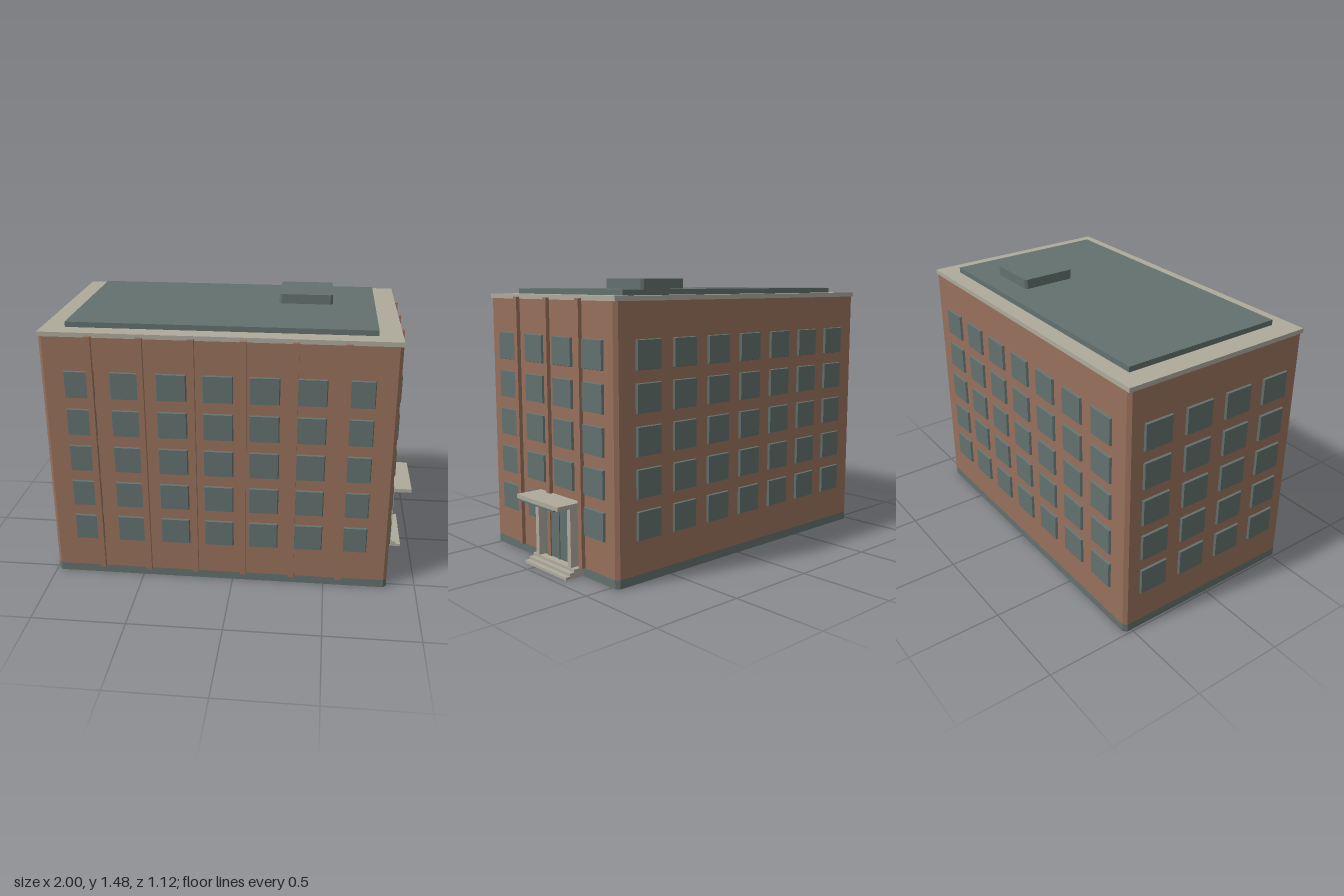
import * as THREE from 'three';

export function createModel() {
  const group = new THREE.Group();
  const mat = (name, color) => {
    const m = new THREE.MeshStandardMaterial({ color });
    m.name = name;
    return m;
  };
  const brick = mat('brick', 0x98705c);
  const slate = mat('slate', 0x63716e);
  const stone = mat('stone', 0xaeab9c);

  const add = (name, geometry, material, parent = group) => {
    const mesh = new THREE.Mesh(geometry, material);
    mesh.name = name;
    parent.add(mesh);
    return mesh;
  };
  // Box given by its limits on each axis
  const box = (name, material, x0, x1, y0, y1, z0, z1, parent) => {
    const g = new THREE.BoxGeometry(x1 - x0, y1 - y0, z1 - z0);
    g.translate((x0 + x1) / 2, (y0 + y1) / 2, (z0 + z1) / 2);
    return add(name, g, material, parent);
  };
  // Upright block whose four vertical corners are chamfered by c
  const chamferedBlock = (name, material, x0, x1, y0, y1, z0, z1, c) => {
    const pts = [
      [x0 + c, -z1], [x1 - c, -z1], [x1, -z1 + c], [x1, -z0 - c],
      [x1 - c, -z0], [x0 + c, -z0], [x0, -z0 - c], [x0, -z1 + c],
    ].map(([x, y]) => new THREE.Vector2(x, y));
    const g = new THREE.ExtrudeGeometry(new THREE.Shape(pts), { depth: y1 - y0, bevelEnabled: false });
    g.rotateX(-Math.PI / 2);
    g.translate(0, y0, 0);
    return add(name, g, material);
  };

  const X0 = -0.988, X1 = 0.845, Z0 = -0.545, Z1 = 0.537;
  const midX = (X0 + X1) / 2, midZ = (Z0 + Z1) / 2;

  // Main volume
  chamferedBlock('base', slate, X0, X1, 0, 0.045, Z0, Z1, 0.018);
  chamferedBlock('walls', brick, X0, X1, 0.045, 1.376, Z0, Z1, 0.018);
  box('cornice', stone, X0 - 0.002, X1 + 0.001, 1.376, 1.4, Z0 - 0.001, Z1 + 0.001);
  box('roofDeck', slate, -0.869, 0.726, 1.4, 1.428, -0.455, 0.443);
  chamferedBlock('roofHatch', slate, 0.203, 0.495, 1.428, 1.48, -0.328, -0.03, 0.012);

  // Window panels, slightly narrower at the face than at the wall
  const panel = (w, h, d) => {
    const g = new THREE.BoxGeometry(w, h, d);
    const p = g.attributes.position;
    for (let i = 0; i < p.count; i++) {
      if (p.getZ(i) > 0) {
        p.setX(i, p.getX(i) - Math.sign(p.getX(i)) * 0.005);
        p.setY(i, p.getY(i) - Math.sign(p.getY(i)) * 0.003);
      }
    }
    g.translate(0, 0, d / 2);
    g.computeVertexNormals();
    return g;
  };
  const windowWall = (name, columns, spacing, width, x, z, turn) => {
    const wall = new THREE.Group();
    wall.name = name;
    const g = panel(width, 0.147, 0.012);
    for (let row = 0; row < 5; row++) {
      for (let col = 0; col < columns; col++) {
        add('window', g, slate, wall).position.set(
          (col - (columns - 1) / 2) * spacing, 0.291 + row * 0.208, 0);
      }
    }
    wall.position.set(x, 0, z);
    wall.rotation.y = turn;
    group.add(wall);
  };
  windowWall('frontWindows', 7, 0.239, 0.158, midX, Z1, 0);
  windowWall('backWindows', 7, 0.239, 0.158, midX, Z0, Math.PI);
  windowWall('leftWindows', 4, 0.247, 0.164, X1, midZ, Math.PI / 2);
  windowWall('rightWindows', 4, 0.247, 0.164, X0, midZ, -Math.PI / 2);

  // Brick pilasters on the front and entrance sides
  for (let i = 0; i < 6; i++) {
    const x = -0.727 + i * 0.262;
    box('frontPilaster', brick, x - 0.016, x + 0.016, 0.045, 1.386, Z1 - 0.01, 0.56);
  }
  for (let i = 0; i < 3; i++) {
    const z = 0.267 - i * 0.271;
    box('sidePilaster', brick, X1 - 0.01, 0.866, 0.045, 1.386, z - 0.0145, z + 0.0145);
  }

  // Entrance
  const porch = new THREE.Group();
  porch.name = 'entrance';
  group.add(porch);
  [0.952, 0.926, 0.9].forEach((x, i) =>
    box('step', stone, X1 - 0.005, x, i * 0.015, (i + 1) * 0.015, -0.27, 0.095, porch));
  box('door', slate, X1, 0.859, 0.045, 0.354, -0.213, 0.04, porch);
  box('doorMullion', slate, X1, 0.864, 0.045, 0.354, -0.095, -0.079, porch);
  for (const z of [0.053, -0.227]) {
    box('column', stone, X1, 0.898, 0.045, 0.354, z - 0.014, z + 0.014, porch);
  }
  box('canopy', stone, X1, 0.992, 0.358, 0.38, -0.268, 0.093, porch);
  box('canopySoffit', slate, X1, 0.999, 0.352, 0.358, -0.24, 0.067, porch);

  return group;
}
